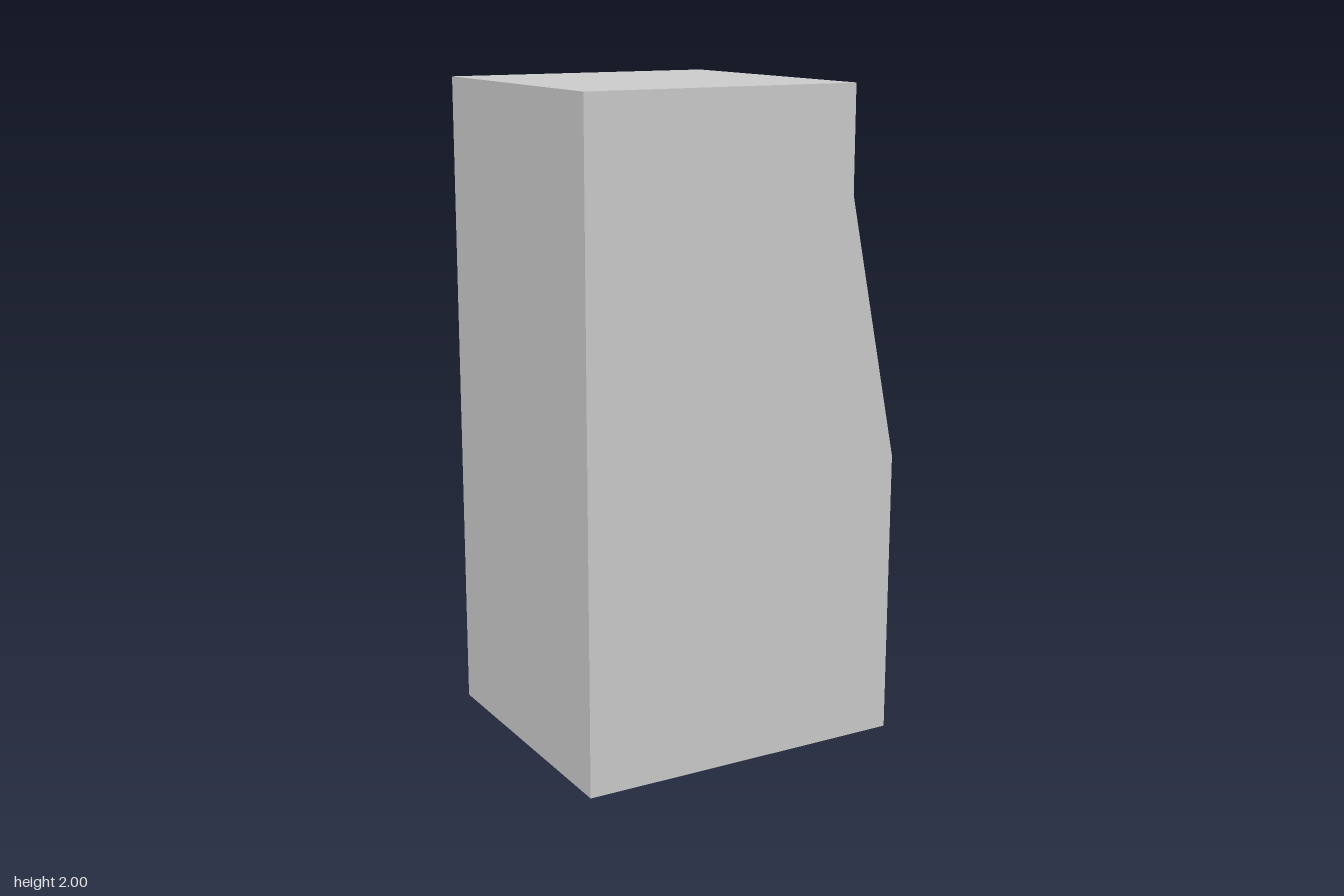
import * as THREE from 'three';

const grey = new THREE.MeshStandardMaterial({ color: 0xcccccc });
grey.name = 'light grey';
const greyDouble = grey; // single colour throughout

// Side profile of the cabinet (x, y), with optional sign recess, window recess and reel slot
function profile({ sign, window, slot }) {
  const p = [[-0.518, 0], [0.518, 0], [0.518, 0.88]];
  if (window) {
    p.push([0.508, 0.93], [0.44, 1.08], [0.387, 1.1]);
    if (slot) p.push([0.385, 1.11], [0.1, 1.11], [0.1, 1.59], [0.286, 1.59]);
    p.push([0.285, 1.595], [0.364, 1.625]);
  }
  p.push([0.352, 1.68]);
  if (sign) p.push([0.352, 1.714], [0.317, 1.718], [0.317, 1.965], [0.352, 1.97]);
  p.push([0.352, 2], [-0.518, 2]);
  return new THREE.Shape(p.map(([x, y]) => new THREE.Vector2(x, y)));
}

function add(group, name, geometry) {
  const mesh = new THREE.Mesh(geometry, greyDouble);
  mesh.name = name;
  group.add(mesh);
  return mesh;
}

export function createModel() {
  const model = new THREE.Group();
  model.name = 'slotMachine';

  // Cabinet: slabs side by side along z, each with its own cut-outs
  const cabinet = new THREE.Group();
  cabinet.name = 'cabinet';
  model.add(cabinet);
  const slab = (z0, z1, cuts) => {
    const g = new THREE.ExtrudeGeometry(profile(cuts), { depth: z1 - z0, bevelEnabled: false });
    add(cabinet, 'cabinetSlab', g.translate(0, 0, z0));
  };
  const reelZ = [-0.138, 0.053, 0.244];
  const open = { sign: true, window: true };
  slab(-0.387, -0.348, {});
  slab(-0.348, -0.339, { sign: true });
  let z = -0.339;
  for (const c of reelZ) {
    slab(z, c - 0.045, open);
    slab(c - 0.045, c + 0.045, { ...open, slot: true });
    z = c + 0.045;
  }
  slab(z, 0.442, open);
  slab(0.442, 0.456, { sign: true });
  slab(0.456, 0.487, {});

  // Slanted side walls inside the window and the sign
  const cheek = (name, corners, flip) => {
    const g = new THREE.BufferGeometry();
    g.setAttribute('position', new THREE.Float32BufferAttribute(corners.flat(), 3));
    g.setIndex(flip ? [0, 2, 1, 0, 3, 2] : [0, 1, 2, 0, 2, 3]);
    const flat = g.toNonIndexed();
    flat.computeVertexNormals();
    add(cabinet, name, flat);
  };
  for (const [outer, inner, flip] of [[0.442, 0.406, true], [-0.339, -0.301, false]]) {
    cheek('windowCheek', [[0.44, 1.08, outer], [0.33, 1.612, outer], [0.285, 1.595, inner], [0.387, 1.1, inner]], !flip);
  }
  for (const [outer, inner, flip] of [[0.456, 0.432, true], [-0.348, -0.326, false]]) {
    cheek('signCheek', [[0.352, 1.714, outer], [0.352, 1.97, outer], [0.317, 1.965, inner], [0.317, 1.718, inner]], !flip);
  }

  // Three twelve-sided reels bulging out of their slots
  for (const c of reelZ) {
    const g = new THREE.CylinderGeometry(0.284, 0.284, 0.088, 12).rotateX(Math.PI / 2).toNonIndexed();
    g.computeVertexNormals();
    add(model, 'reel', g).position.set(0.101, 1.33, c);
  }

  // Lever on the side: mounting plate, dished hub, collar, bent rod and knob
  const lever = new THREE.Group();
  lever.name = 'lever';
  model.add(lever);
  const plate = new THREE.CylinderGeometry(0.1, 0.1, 0.018, 32).rotateX(Math.PI / 2);
  add(lever, 'mountingPlate', plate).position.set(0.295, 1.04, -0.396);
  const hubWall = new THREE.CylinderGeometry(0.068, 0.068, 0.064, 32, 1, true).rotateX(-Math.PI / 2);
  add(lever, 'hubWall', hubWall).position.set(0.295, 1.04, -0.436);
  const dishPoints = [];
  for (let i = 0; i <= 8; i++) {
    const a = (i / 8) * Math.PI / 2;
    dishPoints.push(new THREE.Vector2(0.068 * Math.sin(a), -0.045 * Math.cos(a)));
  }
  const dish = new THREE.LatheGeometry(dishPoints, 32);
  // turn the dish surface to face outwards along its opening
  const n = dish.attributes.normal;
  if (n.getY(0) < 0) {
    const idx = dish.index.array;
    for (let i = 0; i < idx.length; i += 3) [idx[i], idx[i + 1]] = [idx[i + 1], idx[i]];
    dish.computeVertexNormals();
  }
  dish.rotateX(-Math.PI / 2);
  add(lever, 'hubDish', dish).position.set(0.295, 1.04, -0.468);

  const path = new THREE.CatmullRomCurve3([
    [0.312, 1.08], [0.328, 1.15], [0.352, 1.28], [0.37, 1.4], [0.38, 1.53],
  ].map(([x, y]) => new THREE.Vector3(x, y, -0.441)));
  add(lever, 'rod', new THREE.TubeGeometry(path, 24, 0.018, 16));
  const collar = add(lever, 'collar', new THREE.CylinderGeometry(0.023, 0.026, 0.035, 20));
  collar.position.set(0.319, 1.11, -0.441);
  collar.rotation.z = -0.22;
  add(lever, 'knob', new THREE.SphereGeometry(0.044, 28, 18)).position.set(0.38, 1.545, -0.443);

  return model;
}
